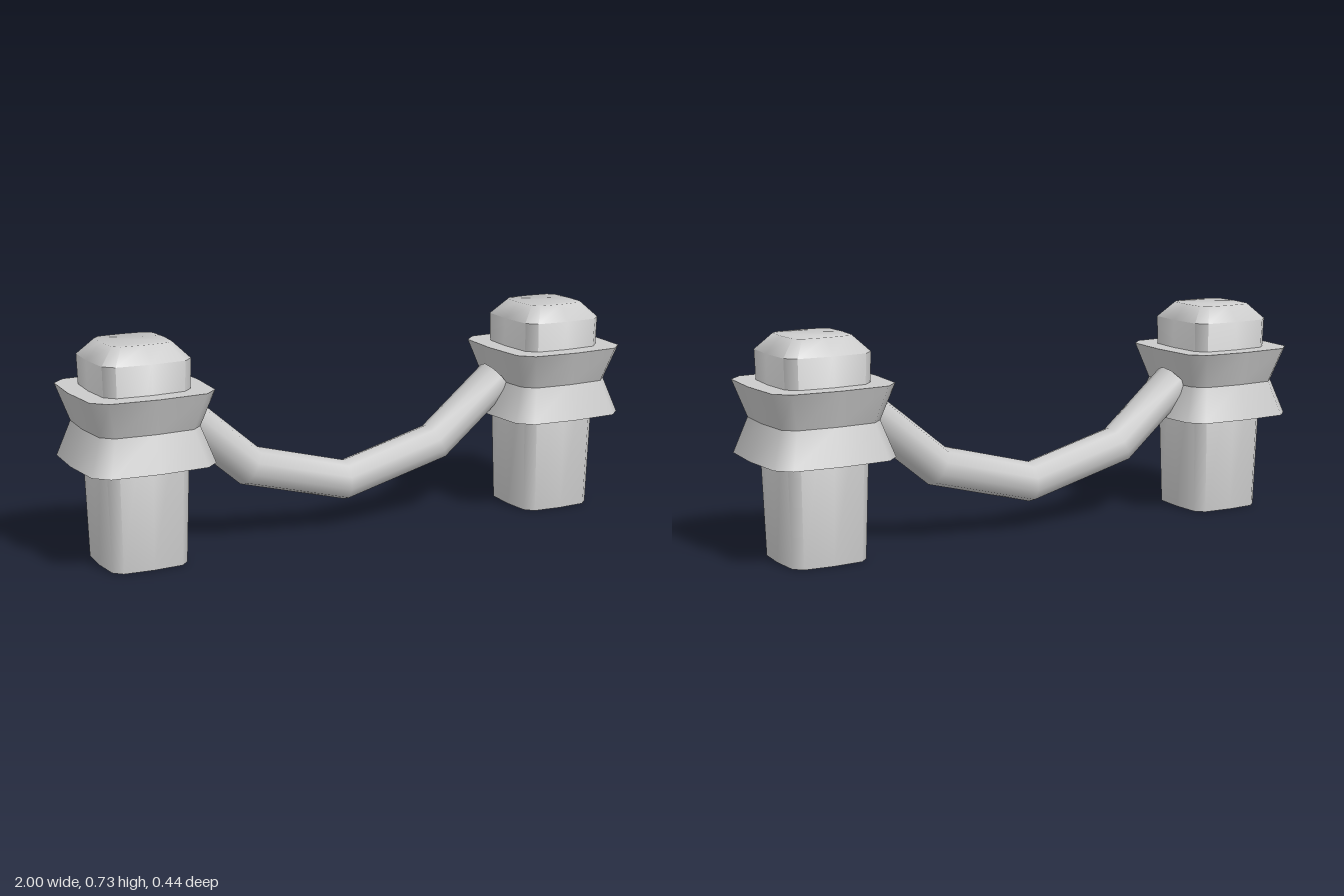
import * as THREE from 'three';
import { toCreasedNormals } from 'three/addons/utils/BufferGeometryUtils.js';

const material = new THREE.MeshStandardMaterial({ color: 0xcccccc });

// Skin a list of rings (equal point counts, counter-clockwise about the travel direction), closing both ends
function loft(name, rings, crease = 0.9) {
  const n = rings[0].length, positions = [], index = [];
  rings.forEach(ring => ring.forEach(p => positions.push(p.x, p.y, p.z)));
  for (let r = 0; r < rings.length - 1; r++) {
    for (let i = 0; i < n; i++) {
      const a = r * n + i, b = r * n + (i + 1) % n;
      index.push(a, b, b + n, a, b + n, a + n);
    }
  }
  const last = (rings.length - 1) * n;
  for (let i = 1; i < n - 1; i++) {
    index.push(0, i + 1, i, last, last + i, last + i + 1);
  }
  const geometry = new THREE.BufferGeometry();
  geometry.setAttribute('position', new THREE.Float32BufferAttribute(positions, 3));
  geometry.setIndex(index);
  const mesh = new THREE.Mesh(toCreasedNormals(geometry, crease), material);
  mesh.name = name;
  return mesh;
}

// Slightly bulging square with chamfered corners, half-width h, at height y
function squareRing(h, y) {
  const ring = [];
  for (let side = 0; side < 4; side++) {
    const angle = side * Math.PI / 2;
    for (const [u, v] of [[0.95, -0.74], [1, 0], [0.95, 0.74]]) {
      const c = Math.cos(angle), s = Math.sin(angle);
      ring.push(new THREE.Vector3(h * (u * c - v * s), y, -h * (u * s + v * c)));
    }
  }
  return ring;
}

const stack = (name, levels) => loft(name, levels.map(([h, y]) => squareRing(h, y)));

// Tapered post with bevelled head and a waisted collar
function createPost(name, x) {
  const post = new THREE.Group();
  post.name = name;
  post.add(
    stack('postShaft', [[0.137, 0], [0.158, 0.677], [0.106, 0.73]]),
    stack('lowerCollar', [[0.222, 0.338], [0.18, 0.457]]),
    stack('upperCollar', [[0.18, 0.457], [0.222, 0.578]])
  );
  post.position.x = x;
  return post;
}

// Sagging rope with mitred bends
function createRope() {
  const radius = 0.067, sides = 10, z = -0.022;
  const path = [[-0.605, 0.465], [-0.367, 0.26], [-0.01, 0.166], [0.346, 0.26], [0.595, 0.465]]
    .map(([x, y]) => new THREE.Vector2(x, y));
  const normalOf = (a, b) => {
    const d = b.clone().sub(a).normalize();
    return new THREE.Vector2(-d.y, d.x);
  };
  const rings = path.map((p, i) => {
    const before = normalOf(path[Math.max(i - 1, 0)], path[Math.max(i, 1)]);
    const after = i < path.length - 1 ? normalOf(p, path[i + 1]) : before;
    const miter = before.clone().add(after).normalize();
    miter.multiplyScalar(radius / miter.dot(before));
    return Array.from({ length: sides }, (_, k) => {
      const t = k / sides * Math.PI * 2, c = Math.cos(t);
      return new THREE.Vector3(p.x + miter.x * c, p.y + miter.y * c, z + radius * Math.sin(t));
    });
  });
  return loft('rope', rings);
}

export function createModel() {
  const model = new THREE.Group();
  model.name = 'ropeBarrier';
  model.add(createPost('leftPost', 0.777), createPost('rightPost', -0.777), createRope());
  return model;
}
